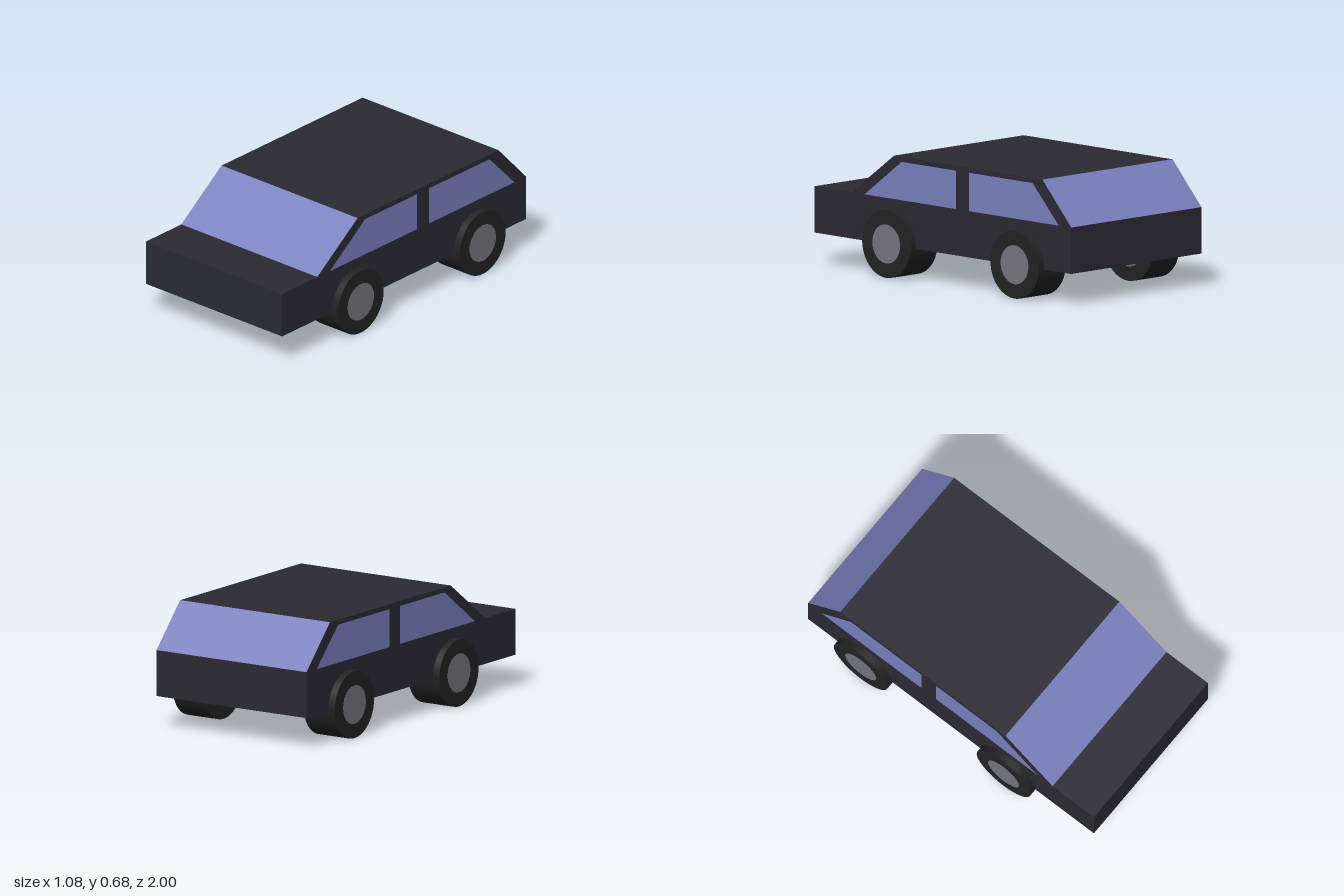
import * as THREE from 'three';

const material = (color, side = THREE.FrontSide) => new THREE.MeshStandardMaterial({ color, side });

// Shape from [z, y] points of a side elevation
const sideShape = (points) => new THREE.Shape(points.map(([z, y]) => new THREE.Vector2(z, y)));

export function createModel() {
  const car = new THREE.Group();
  car.name = 'car';
  const paint = material(0x2b2a33);
  const glass = material(0x7a80be, THREE.DoubleSide);
  const rubber = material(0x232323);
  const metal = material(0x75757d);

  const add = (name, geometry, mat, parent = car) => {
    const mesh = new THREE.Mesh(geometry, mat);
    mesh.name = name;
    parent.add(mesh);
    return mesh;
  };

  const halfWidth = 0.5, bottom = 0.178, belt = 0.435, roof = 0.675, skin = 0.001;

  // Body: side elevation extruded across the full width
  const body = new THREE.ExtrudeGeometry(sideShape([
    [1, bottom], [1, belt], [0.71, belt], [0.38, roof],
    [-0.775, roof], [-1, belt], [-1, bottom],
  ]), { depth: halfWidth * 2, bevelEnabled: false });
  body.rotateY(-Math.PI / 2).translate(halfWidth, 0, 0);
  add('body', body, paint);

  // Windscreen and rear window: full-width panes lying on the slopes
  const slopedPane = (name, zLow, zHigh) => {
    const dz = zLow - zHigh, dy = roof - belt;
    const pane = add(name, new THREE.PlaneGeometry(halfWidth * 2, Math.hypot(dz, dy)), glass);
    const normal = new THREE.Vector3(0, Math.abs(dz), Math.sign(dz) * dy).normalize();
    pane.position.set(0, (belt + roof) / 2, (zLow + zHigh) / 2).addScaledVector(normal, skin);
    pane.rotation.x = -Math.atan2(dz, dy);
    if (dz < 0) pane.rotateY(Math.PI);
  };
  slopedPane('windscreen', 0.71, 0.38);
  slopedPane('rearWindow', -1, -0.775);

  // Side windows, split by the door pillar
  const windows = {
    FrontWindow: [[0.61, belt], [0.32, 0.648], [-0.105, 0.648], [-0.105, belt]],
    BackWindow: [[-0.205, belt], [-0.205, 0.648], [-0.70, 0.648], [-0.905, belt]],
  };
  // Wheels: tyre ring with a hub running through it
  const wheelWidth = 0.208, radius = 0.188, hubRadius = 0.108;
  const tyre = new THREE.CylinderGeometry(radius, radius, wheelWidth, 48).rotateZ(Math.PI / 2);
  const hub = new THREE.CylinderGeometry(hubRadius, hubRadius, wheelWidth + 2 * skin, 48).rotateZ(Math.PI / 2);

  for (const [side, s] of [['left', 1], ['right', -1]]) {
    for (const [name, points] of Object.entries(windows)) {
      const pane = new THREE.ShapeGeometry(sideShape(points));
      // Turn each pane so that its normal points outwards
      if (s > 0) pane.scale(-1, 1, 1).index.array.reverse();
      if (s > 0) pane.rotateY(Math.PI / 2);
      else pane.rotateY(-Math.PI / 2);
      pane.translate(s * (halfWidth + skin), 0, 0);
      pane.computeVertexNormals();
      add(side + name, pane, glass);
    }
    for (const [end, z] of [['Front', 0.4], ['Back', -0.6]]) {
      const wheel = new THREE.Group();
      wheel.name = side + end + 'Wheel';
      wheel.position.set(s * 0.437, radius, z);
      add('tyre', tyre, rubber, wheel);
      add('hub', hub, metal, wheel);
      car.add(wheel);
    }
  }
  return car;
}
